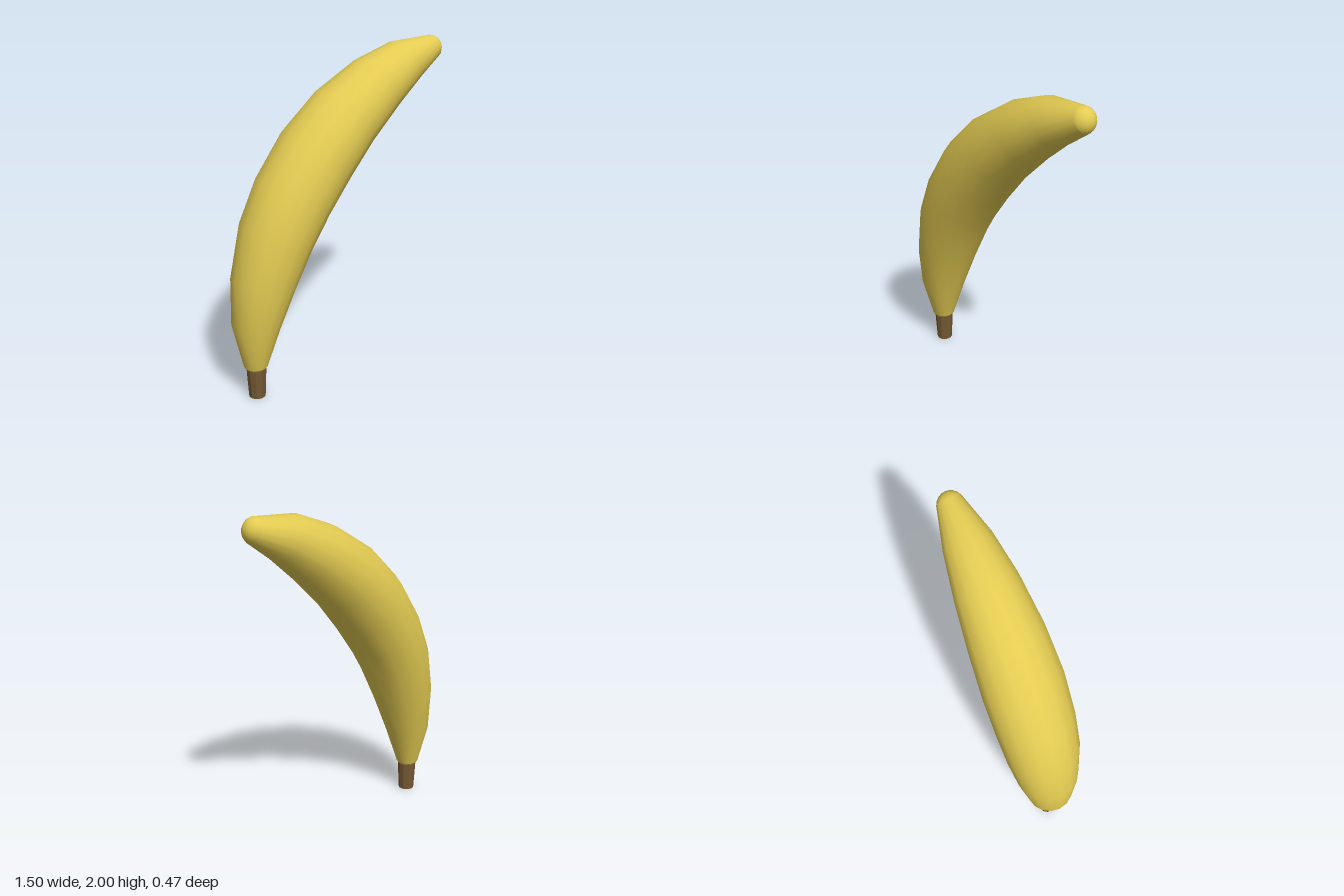
import * as THREE from 'three';

const SIDES = 16;

// Each section: outer x, outer y, inner x, inner y of a circular ring
const SECTIONS = [
  [-0.695, 0.2, -0.555, 0.2],
  [-0.755, 0.48, -0.475, 0.43],
  [-0.74, 0.76, -0.37, 0.67],
  [-0.665, 1.06, -0.26, 0.88],
  [-0.54, 1.31, -0.15, 1.05],
  [-0.35, 1.56, -0.01, 1.23],
  [-0.13, 1.75, 0.16, 1.42],
  [0.14, 1.9, 0.36, 1.6],
  [0.4, 1.985, 0.55, 1.75],
  [0.67, 2.0, 0.73, 1.87],
];

// Smooth skin through the rings
function loft(sections) {
  const positions = [];
  const index = [];
  sections.forEach(([ox, oy, ix, iy], i) => {
    const ux = (ox - ix) / 2;
    const uy = (oy - iy) / 2;
    const r = Math.hypot(ux, uy);
    for (let j = 0; j < SIDES; j++) {
      const a = (j / SIDES) * Math.PI * 2;
      positions.push(
        (ox + ix) / 2 + ux * Math.cos(a),
        (oy + iy) / 2 + uy * Math.cos(a),
        r * Math.sin(a)
      );
      if (i < sections.length - 1) {
        const p = i * SIDES + j;
        const q = i * SIDES + ((j + 1) % SIDES);
        index.push(p, q, p + SIDES, q, q + SIDES, p + SIDES);
      }
    }
  });
  const geometry = new THREE.BufferGeometry();
  geometry.setAttribute('position', new THREE.Float32BufferAttribute(positions, 3));
  geometry.setIndex(index);
  geometry.computeVertexNormals();
  return geometry;
}

export function createModel() {
  const group = new THREE.Group();
  group.name = 'banana';

  const peel = new THREE.MeshStandardMaterial({ color: 0xe3cb52 });
  peel.name = 'yellow peel';
  const wood = new THREE.MeshStandardMaterial({ color: 0x755934 });
  wood.name = 'brown stem';

  const add = (name, geometry, material, x = 0, y = 0) => {
    const mesh = new THREE.Mesh(geometry, material);
    mesh.name = name;
    mesh.position.set(x, y, 0);
    group.add(mesh);
  };

  // Curved fruit body
  add('body', loft(SECTIONS), peel);

  // Rounded blossom end
  add('tip', new THREE.SphereGeometry(0.075, 20, 14), peel, 0.675, 1.925);

  // Short collar closing the body around the stem
  add('collar', new THREE.CylinderGeometry(0.07, 0.058, 0.015, SIDES), peel, -0.625, 0.1925);

  // Faceted stem, flat sided
  const stem = new THREE.CylinderGeometry(0.06, 0.05, 0.19, 10).toNonIndexed();
  stem.computeVertexNormals();
  add('stem', stem, wood, -0.622, 0.095);

  return group;
}
